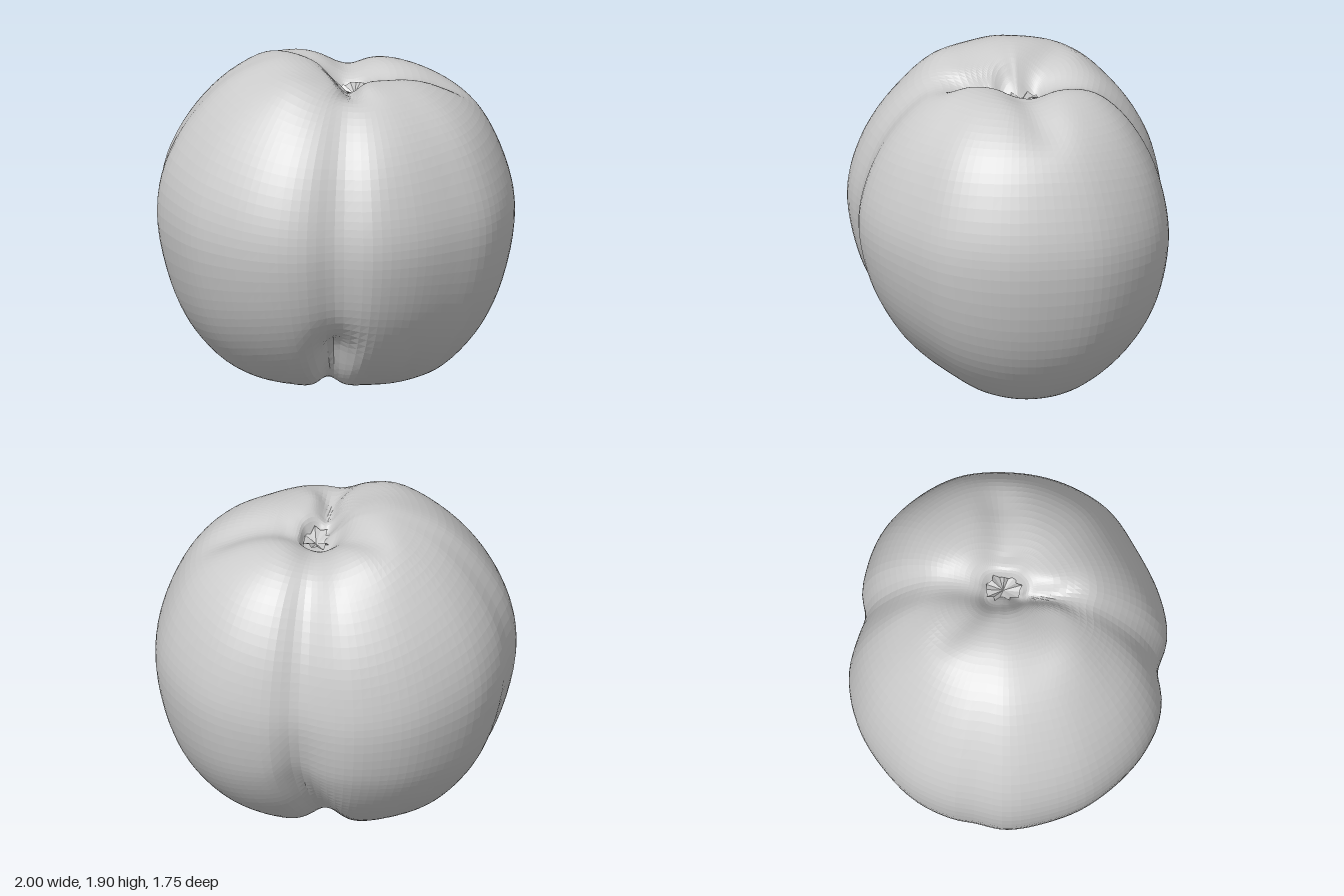
import * as THREE from 'three';

const { lerp, smoothstep } = THREE.MathUtils;
const COLS = 112, ROWS = 64;

// Widest outline of the fruit as [x, z], starting at the left and running round by the back
const outline = new THREE.CatmullRomCurve3([
  [1, 0], [0.96, -0.35], [0.8, -0.61], [0.6, -0.77], [0.33, -0.84], [0.15, -0.83], [0, -0.855],
  [-0.2, -0.88], [-0.45, -0.82], [-0.65, -0.7], [-0.85, -0.5], [-0.95, -0.28], [-0.97, -0.14],
  [-1, 0.05], [-0.95, 0.27], [-0.83, 0.52], [-0.6, 0.75], [-0.4, 0.85], [-0.25, 0.87],
  [-0.07, 0.845], [0.13, 0.875], [0.35, 0.82], [0.6, 0.68], [0.82, 0.51], [0.95, 0.27],
].map(([x, z]) => new THREE.Vector3(x, 0, z)), true);

// Meridians from the bottom pole, over the rim, into the stem pit: [share of outline, height]
const meridian = (pts) => new THREE.CatmullRomCurve3(pts.map(([f, y]) => new THREE.Vector3(f, y, 0)));
const leftSide = meridian([[0, 0.045], [0.29, 0], [0.45, 0.03], [0.6, 0.1], [0.8, 0.32], [0.93, 0.6],
  [1, 0.97], [0.97, 1.2], [0.83, 1.5], [0.67, 1.66], [0.44, 1.77], [0.22, 1.79], [0.12, 1.75],
  [0.08, 1.66], [0, 1.64]]);
const rightSide = meridian([[0, 0.045], [0.25, 0.03], [0.45, 0.06], [0.62, 0.15], [0.8, 0.35], [0.92, 0.6],
  [1, 1], [0.96, 1.3], [0.82, 1.58], [0.64, 1.78], [0.45, 1.88], [0.33, 1.9], [0.19, 1.86],
  [0.09, 1.75], [0, 1.64]]);
const frontSide = meridian([[0, 0.045], [0.25, 0.03], [0.5, 0.13], [0.72, 0.31], [0.87, 0.53], [0.96, 0.76],
  [1, 1], [0.97, 1.2], [0.86, 1.45], [0.69, 1.65], [0.5, 1.77], [0.3, 1.8], [0.16, 1.77],
  [0.09, 1.67], [0, 1.64]]);
const backSide = meridian([[0, 0.045], [0.28, 0.03], [0.5, 0.14], [0.72, 0.32], [0.87, 0.5], [0.95, 0.65],
  [1, 0.9], [0.98, 1.1], [0.9, 1.35], [0.73, 1.6], [0.55, 1.74], [0.38, 1.79], [0.21, 1.77],
  [0.11, 1.67], [0, 1.64]]);

const bell = (d, w) => Math.exp(-((d / w) ** 2));

// Seam groove: presses points near the seam towards the core
function pressSeam(p, share, t) {
  const front = smoothstep(p.z, -0.15, 0.1);
  const high = smoothstep(p.y, 0.9, 1.75), low = 1 - smoothstep(p.y, 0.05, 0.6);
  const nearPit = t > 0.5 ? 1 - smoothstep(share, 0.3, 0.6) : 0;
  const seamFront = lerp(-0.06, 0.06, high), seamBack = lerp(lerp(0.13, 0.1, high), 0.02, low);
  const d = p.x - lerp(seamBack, seamFront, front);
  const fade = t > 0.5 ? smoothstep(share, 0.05, 0.22) : 1;   // leaves the pit calm
  const depthFront = 0.012 + 0.14 * bell(p.y - 0.25, 0.19) + 0.07 * nearPit;
  const depthBack = 0.015 + 0.02 * high + 0.055 * (1 - smoothstep(p.y, 0.3, 1.1)) + 0.03 * nearPit;
  const widthFront = lerp(lerp(0.14, 0.065, low), 0.06, nearPit);
  const press = lerp(depthBack, depthFront, front) * bell(d, lerp(0.11, widthFront, front)) * fade;
  const core = new THREE.Vector3(p.x, 0.95, 0);
  return p.addScaledVector(core.sub(p).normalize(), press);
}

// Shallow valley on the shoulder, running from the pit in one direction; returns its depth
function valley(p, angle, depth, width, length) {
  const dx = p.x - 0.1, dz = p.z + 0.03, c = Math.cos(angle), s = Math.sin(angle);
  const along = dx * c + dz * s, across = dz * c - dx * s;
  return depth * bell(across, width) * smoothstep(along, 0.05, 0.2) * (1 - smoothstep(along, length * 0.6, length));
}

function fruitPoint(u, t) {
  const rim = outline.getPointAt(u % 1);
  const a = Math.atan2(rim.z, rim.x), c = Math.cos(a), s = Math.sin(a);
  // Blend the four meridians by direction
  const p = new THREE.Vector3();
  p.addScaledVector(c > 0 ? leftSide.getPoint(t) : rightSide.getPoint(t), c * c);
  p.addScaledVector(s > 0 ? frontSide.getPoint(t) : backSide.getPoint(t), s * s);
  const f = p.x, y = p.y;
  // The core leans from the bottom pole to the off-centre pit
  const up = smoothstep(y, 0, 1.7);
  p.set(lerp(lerp(0, 0.1, up), rim.x, f), y, lerp(lerp(-0.08, -0.03, up), rim.z, f));
  // Shoulder relief: two valleys, and a fuller right lobe in front and behind
  if (t > 0.5) {
    const top = smoothstep(y, 1.4, 1.7);
    p.y -= top * (valley(p, -0.12, 0.055, 0.12, 0.75) + valley(p, -2.45, 0.035, 0.09, 0.65));
    p.y += top * 0.04 * bell(p.x + 0.28, 0.2) * bell(Math.abs(p.z) - 0.38, 0.16);
  }
  return pressSeam(p, f, t);
}

function gridGeometry() {
  const pos = [], index = [];
  for (let i = 0; i <= ROWS; i++) {
    for (let j = 0; j < COLS; j++) pos.push(...fruitPoint(j / COLS, i / ROWS).toArray());
  }
  for (let i = 0; i < ROWS; i++) {
    for (let j = 0; j < COLS; j++) {
      const k = (j + 1) % COLS, a = i * COLS + j, b = i * COLS + k;
      index.push(a, b, b + COLS, a, b + COLS, a + COLS);
    }
  }
  const g = new THREE.BufferGeometry();
  g.setAttribute('position', new THREE.Float32BufferAttribute(pos, 3));
  g.setIndex(index);
  g.computeVertexNormals();
  return g;
}

// Ragged scar on the pit floor
function scarGeometry() {
  let seed = 7;
  const rand = () => (seed = (seed * 16807) % 2147483647) / 2147483647;
  const g = new THREE.CircleGeometry(0.1, 18).rotateX(-Math.PI / 2);
  const p = g.attributes.position;
  for (let i = 1; i < p.count - 1; i++) {
    const k = 0.6 + 0.5 * rand();
    p.setXYZ(i, p.getX(i) * k, 0.06 * rand(), p.getZ(i) * k);
  }
  p.setXYZ(p.count - 1, p.getX(1), p.getY(1), p.getZ(1));
  g.computeVertexNormals();
  return g;
}

export function createModel() {
  const group = new THREE.Group();
  group.name = 'fruit';
  const material = new THREE.MeshStandardMaterial({ color: 0xcccccc, flatShading: true, side: THREE.DoubleSide });

  const flesh = new THREE.Mesh(gridGeometry(), material);
  flesh.name = 'fruitBody';

  const scar = new THREE.Mesh(scarGeometry(), material);
  scar.name = 'stemScar';
  scar.position.set(0.11, 1.665, -0.04);

  group.add(flesh, scar);

  // Stand on the ground, centred
  const box = new THREE.Box3().setFromObject(flesh), mid = box.getCenter(new THREE.Vector3());
  for (const m of group.children) m.position.sub(new THREE.Vector3(mid.x, box.min.y, mid.z));
  return group;
}
